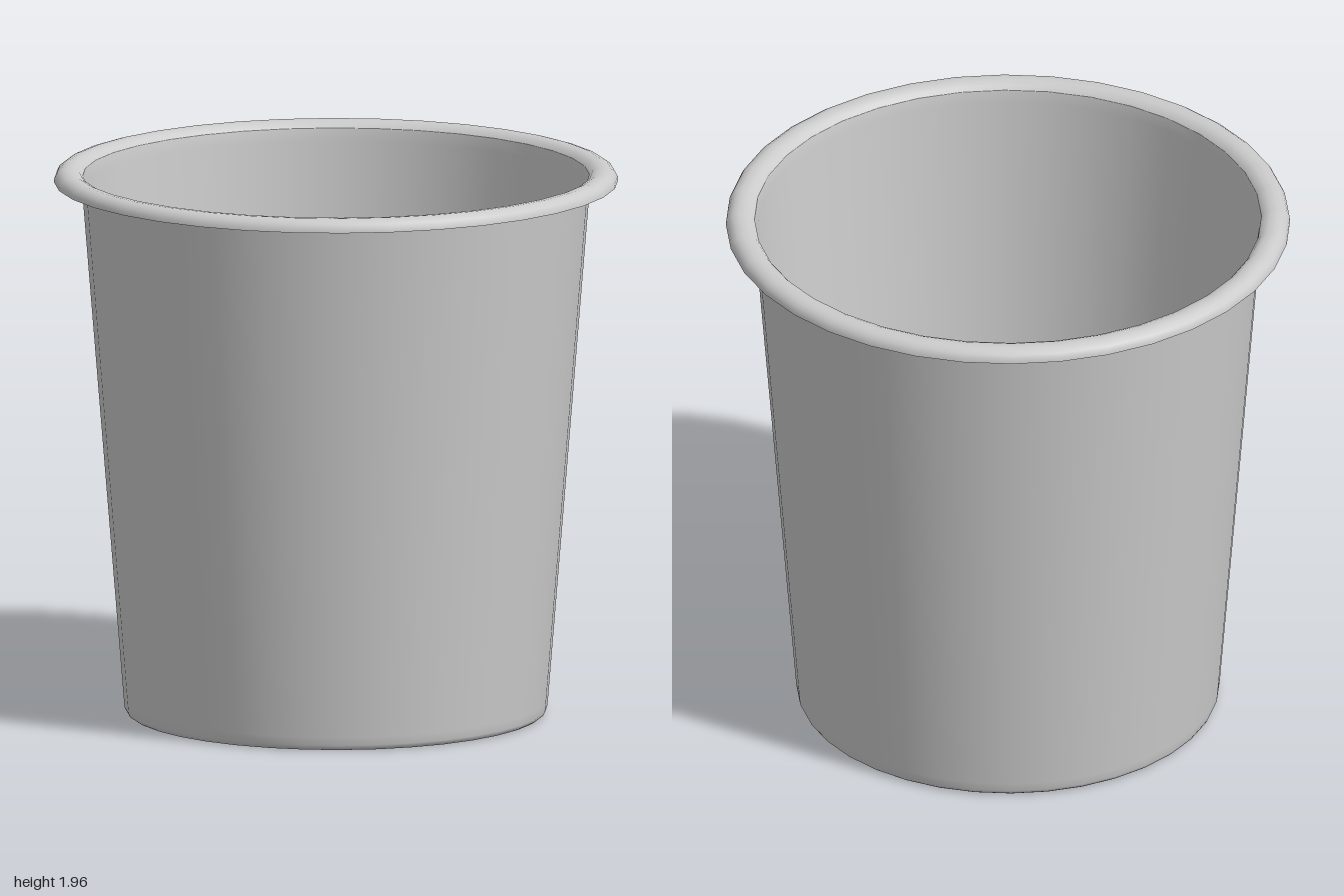
import * as THREE from 'three';

const SIDES = 36;
const material = new THREE.MeshStandardMaterial({ color: 0xcccccc, side: THREE.DoubleSide });

// Smooth surface of revolution from [radius, height] pairs
function lathe(name, profile) {
  const points = profile.map(([r, y]) => new THREE.Vector2(r, y));
  const mesh = new THREE.Mesh(new THREE.LatheGeometry(points, SIDES), material);
  mesh.name = name;
  return mesh;
}

export function createModel() {
  const group = new THREE.Group();
  group.name = 'bucket';

  // Flat base with a small rounded corner, then the tapered outer wall
  group.add(lathe('outerWall', [
    [0, 0], [0.725, 0], [0.735, 0.002], [0.743, 0.008], [0.749, 0.02],
    [0.752, 0.05], [0.9, 1.89], [0.904, 1.935],
  ]));

  // Inner wall running down to the floor
  group.add(lathe('innerWall', [
    [0.898, 1.935], [0.89, 1.89], [0.742, 0.05], [0.738, 0.027],
    [0.73, 0.015], [0.718, 0.01], [0.7, 0.01], [0, 0.01],
  ]));

  // Rolled lip: domed on top, hollow underneath
  group.add(lathe('rimTop', [
    [1, 1.915], [0.998, 1.928], [0.99, 1.943], [0.975, 1.954],
    [0.955, 1.96], [0.93, 1.958], [0.91, 1.949], [0.898, 1.935],
  ]));
  group.add(lathe('rimUnderside', [
    [0.904, 1.935], [0.915, 1.943], [0.935, 1.95], [0.955, 1.951],
    [0.972, 1.946], [0.985, 1.936], [0.99, 1.925], [0.992, 1.915],
  ]));
  group.add(lathe('rimEdge', [[0.992, 1.915], [1, 1.915]]));

  return group;
}
